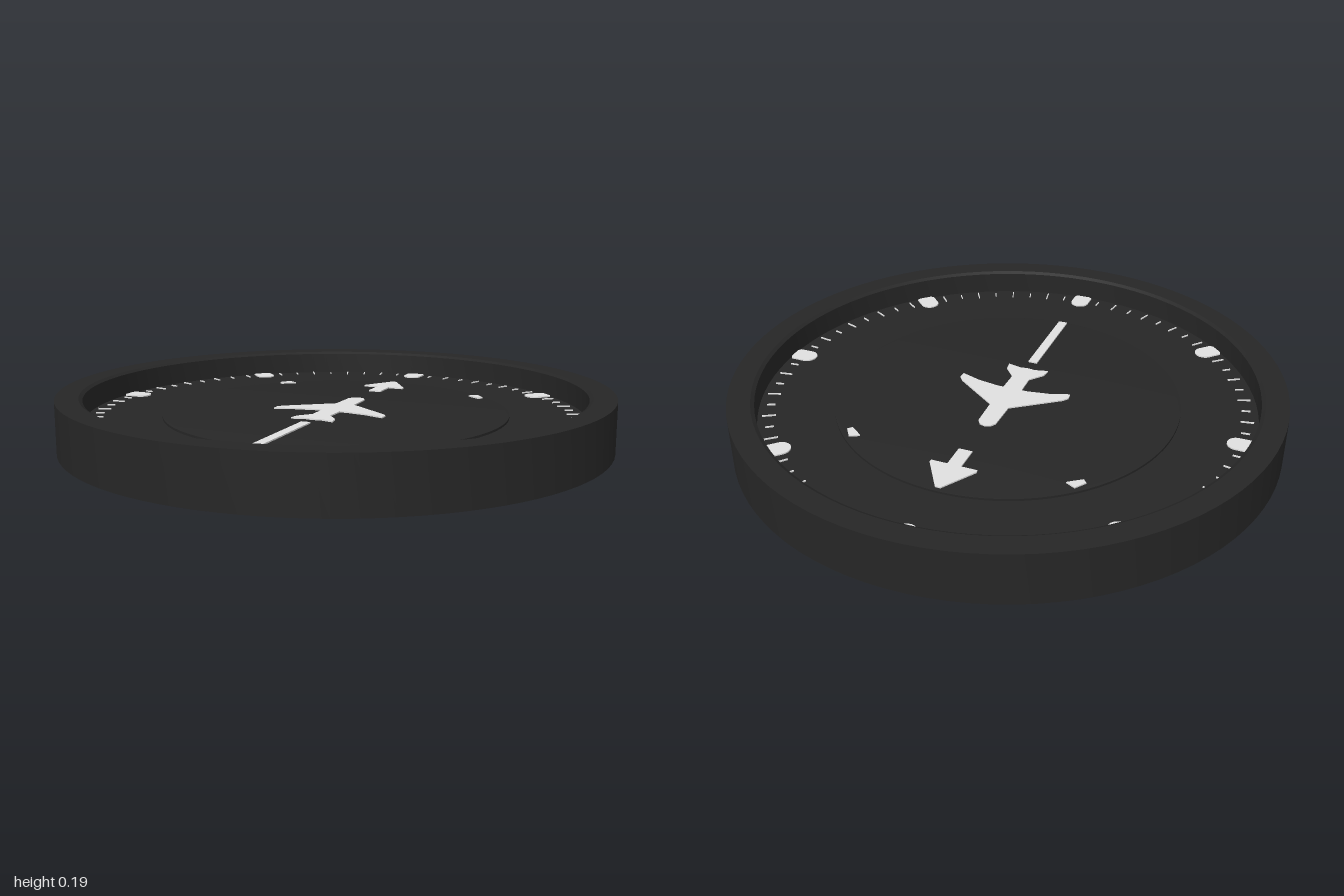
import * as THREE from 'three';
import { toCreasedNormals } from 'three/addons/utils/BufferGeometryUtils.js';

const DIAL_Y = 0.097;   // recessed outer dial
const DISC_Y = 0.107;   // raised centre disc
const PLATE = 0.005;    // thickness of the painted marks

export function createModel() {
  const black = new THREE.MeshStandardMaterial({ color: 0x262626 });
  black.name = 'black';
  const white = new THREE.MeshStandardMaterial({ color: 0xe0e0e0 });
  white.name = 'white';

  const model = new THREE.Group();
  model.name = 'headingInstrument';

  // Turned parts with crisp edges
  const turned = (name, profile) => {
    const points = profile.map(([r, y]) => new THREE.Vector2(r, y));
    const mesh = new THREE.Mesh(toCreasedNormals(new THREE.LatheGeometry(points, 96), 0.4), black);
    mesh.name = name;
    model.add(mesh);
  };
  turned('housing', [
    [0, 0], [1, 0], [1, 0.188], [0.918, 0.188], [0.905, 0.18], [0.905, DIAL_Y], [0, DIAL_Y],
  ]);
  turned('centreDisc', [
    [0.63, DIAL_Y - 0.005], [0.63, DISC_Y - 0.002], [0.618, DISC_Y], [0, DISC_Y],
  ]);

  // Flat marks: shapes are drawn with +y towards the top of the dial (-z)
  const plate = (shape) => new THREE.ExtrudeGeometry(shape, {
    depth: PLATE, bevelEnabled: false, curveSegments: 10,
  }).rotateX(-Math.PI / 2);
  const mark = (name, geometry, y, angle = 0) => {
    const mesh = new THREE.Mesh(geometry, white);
    mesh.name = name;
    mesh.position.y = y;
    mesh.rotation.y = angle;
    model.add(mesh);
  };
  const polygon = (points) => new THREE.Shape(points.map(([x, y]) => new THREE.Vector2(x, y)));
  // Mirrors a right-hand outline listed from top to bottom
  const symmetric = (half) => polygon(
    [...half, ...half.filter(([x]) => x > 0).reverse().map(([x, y]) => [-x, y])].reverse());
  const bar = (w, y0, y1) => symmetric([[w / 2, y1], [w / 2, y0]]);

  // Eight main markers, rounded towards the centre
  const marker = new THREE.Shape();
  marker.moveTo(0.036, 0.845);
  marker.lineTo(0.036, 0.896);
  marker.lineTo(0.024, 0.904);
  marker.lineTo(-0.024, 0.904);
  marker.lineTo(-0.036, 0.896);
  marker.lineTo(-0.036, 0.845);
  marker.absarc(0, 0.845, 0.036, Math.PI, Math.PI * 2, false);
  const markerGeometry = plate(marker);

  // Fine scale: long ticks each ten degrees, short ones between
  const longTick = plate(bar(0.004, 0.84, 0.888));
  const shortTick = plate(bar(0.004, 0.847, 0.878));
  for (let deg = 0; deg < 360; deg += 5) {
    const angle = THREE.MathUtils.degToRad(deg);
    if (deg % 45 === 0) mark('mainMarker', markerGeometry, DIAL_Y, angle);
    else mark('tick', deg % 10 === 0 ? longTick : shortTick, DIAL_Y, angle);
  }

  // Heading arrow and tail line
  mark('headingArrow', plate(symmetric([
    [0.01, 0.615], [0.085, 0.495], [0.083, 0.485], [0.025, 0.485], [0.025, 0.39],
  ])), DISC_Y);
  mark('tailLine', plate(bar(0.035, 0.26, 0.622).clone()), DISC_Y, Math.PI);

  // Small reference marks either side of the arrow
  const wedge = [[0.375, 0.44], [0.41, 0.458], [0.437, 0.42], [0.424, 0.405], [0.395, 0.425]];
  mark('referenceMark', plate(polygon(wedge)), DISC_Y);
  mark('referenceMark', plate(polygon(wedge.map(([x, y]) => [-x, y]))), DISC_Y);

  // Aircraft symbol
  mark('aircraftSymbol', plate(symmetric([
    [0, 0.226], [0.02, 0.22], [0.033, 0.2], [0.036, 0.085],
    [0.2, -0.035], [0.215, -0.055], [0.213, -0.083],
    [0.14, -0.058], [0.06, -0.045], [0.036, -0.045], [0.034, -0.13],
    [0.075, -0.18], [0.08, -0.215], [0.03, -0.203], [0, -0.207],
  ])), DISC_Y);

  return model;
}
